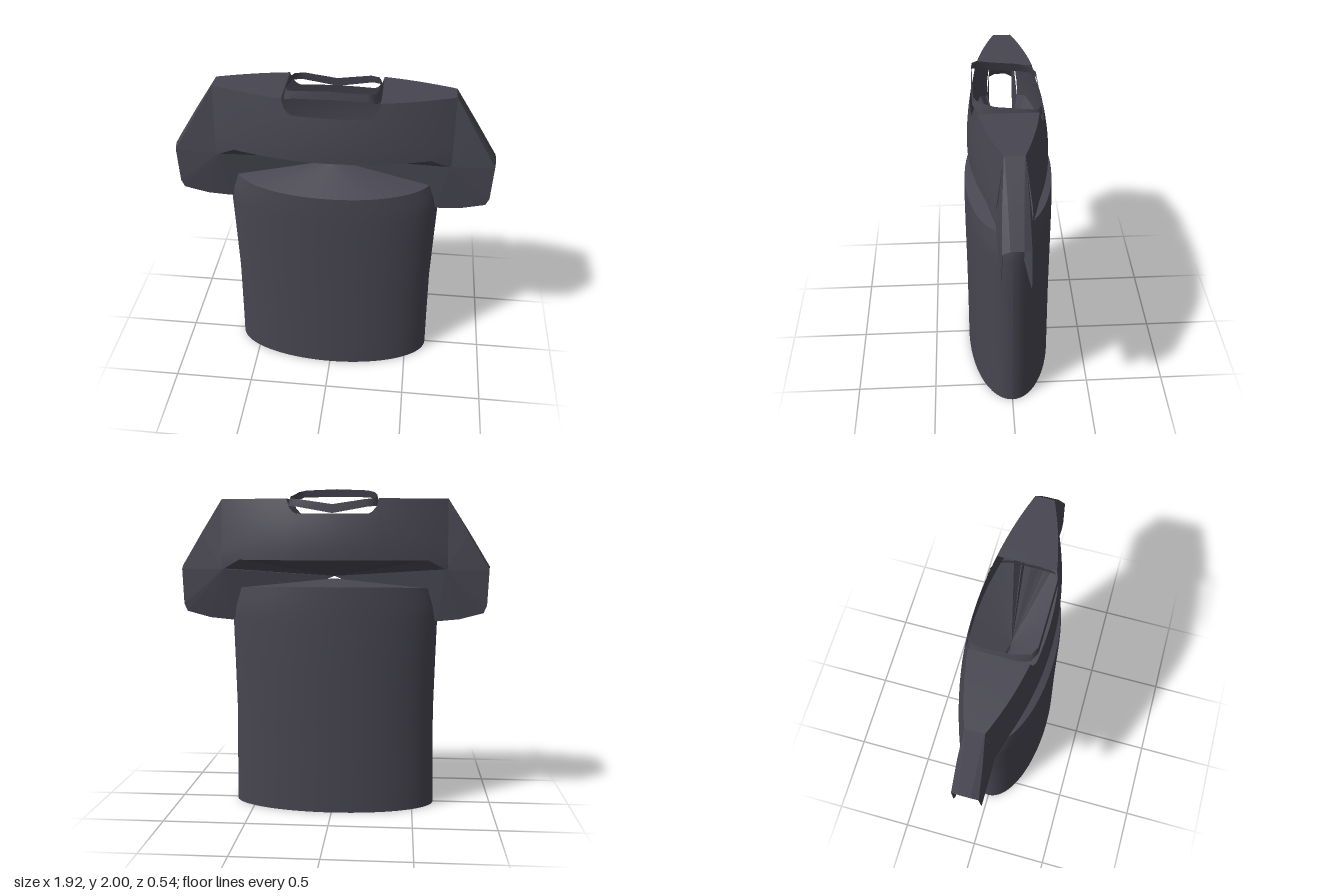
import * as THREE from 'three';

const fabric = new THREE.MeshStandardMaterial({ color: 0x474651, side: THREE.DoubleSide });
fabric.name = 'charcoal fabric';

// Mesh from rows of [x, y, z] cross-sections of equal length
function loft(name, rows, flip = false) {
  const n = rows[0].length, index = [];
  for (let i = 0; i < rows.length - 1; i++) {
    for (let j = 0; j < n - 1; j++) {
      const a = i * n + j, b = a + 1, c = a + n, d = c + 1;
      if (flip) index.push(a, c, b, b, c, d);
      else index.push(a, b, c, b, d, c);
    }
  }
  const g = new THREE.BufferGeometry();
  g.setAttribute('position', new THREE.Float32BufferAttribute(rows.flat(2), 3));
  g.setIndex(index);
  g.computeVertexNormals();
  const mesh = new THREE.Mesh(g, fabric);
  mesh.name = name;
  return mesh;
}

// Triangles from an apex to each segment of an edge
function fan(name, apex, edge, flip = false) {
  const pos = [];
  for (let i = 0; i < edge.length - 1; i++) {
    const [p, q] = flip ? [edge[i + 1], edge[i]] : [edge[i], edge[i + 1]];
    pos.push(...apex, ...p, ...q);
  }
  const g = new THREE.BufferGeometry();
  g.setAttribute('position', new THREE.Float32BufferAttribute(pos, 3));
  g.computeVertexNormals();
  const mesh = new THREE.Mesh(g, fabric);
  mesh.name = name;
  return mesh;
}

const centre = [0, 1.455, 0];

// Yoke half-depth, upper edge with the neck cutout, and lower edge
function yokePoint(x, y, side) {
  const k = Math.max(0, 1 - (x / 0.7) ** 2);
  const t = Math.min(1, Math.max(0, (1.93 - y) / 0.35));
  const bulge = Math.sin(t * Math.PI / 2);
  const edge = 0.055 + 0.045 * t;
  const mid = (side > 0 ? 0.2 : 0.18) + (side > 0 ? 0.04 : 0.055) * bulge;
  return [x, y, side * (edge + (mid - edge) * k)];
}
function yokeTop(x) {
  const a = Math.abs(x);
  if (a >= 0.28) return 1.93;
  if (a >= 0.26) return 1.88;
  return a >= 0.235 ? 1.85 : 1.84;
}
const yokeBottom = (x) => 1.56 - 0.055 * Math.min(1, Math.max(0, (Math.abs(x) - 0.58) / 0.1));

export function createModel() {
  const shirt = new THREE.Group();
  shirt.name = 'shirt';

  // Torso tube, open at the hem, with a tilted upper rim
  const levels = [[0, 0.637, 0.27], [0.25, 0.633, 0.268], [0.6, 0.629, 0.266], [0.95, 0.638, 0.267],
    [1.18, 0.645, 0.267], [1.26, 0.635, 0.266], [1.31, 0.62, 0.264], [1.365, 0.605, 0.262]];
  const rings = levels.map(([y, w, d]) => {
    const ring = [];
    for (let i = 0; i <= 64; i++) {
      const a = (i / 64) * Math.PI * 2, s = Math.sin(a);
      const tilt = -0.037 * Math.sign(s) * Math.sqrt(Math.abs(s)) * Math.max(0, (y - 0.95) / 0.415);
      ring.push([w * Math.cos(a), y + tilt, d * s]);
    }
    return ring;
  });
  shirt.add(loft('torso', rings, true));
  shirt.add(fan('torsoTop', [0, 1.44, 0], rings[rings.length - 1], true));

  // Yoke columns, closer together around the neck cutout
  const half = [0.06, 0.12, 0.18, 0.22, 0.24, 0.265, 0.28, 0.34, 0.4, 0.46, 0.52, 0.58, 0.63, 0.68, 0.7];
  const xs = [...half.map((x) => -x).reverse(), 0, ...half];

  for (const side of [1, -1]) {
    const label = side > 0 ? 'front' : 'back';
    const rows = [];
    for (let r = 0; r <= 8; r++) {
      rows.push(xs.map((x) => {
        const top = yokeTop(x), low = yokeBottom(x);
        return yokePoint(x, top + (low - top) * (r / 8), side);
      }));
    }
    shirt.add(loft(label + 'Yoke', rows, side > 0));
    shirt.add(fan(label + 'YokeUnderside', centre, rows[8], side < 0));
  }

  for (const m of [1, -1]) {
    const label = m > 0 ? 'left' : 'right';

    // Shoulder surface between the front and back yoke
    const shoulder = half.filter((x) => x >= 0.28).map((x) => {
      const f = yokePoint(m * x, 1.93, 1), b = yokePoint(m * x, 1.93, -1);
      return [f, [m * x, 1.93, (f[2] + b[2]) / 2], b];
    });
    shirt.add(loft(label + 'Shoulder', shoulder, m > 0));

    // Sleeve: narrow outer strip, two hanging panels and inner folds
    const sleeve = new THREE.Group();
    sleeve.name = label + 'Sleeve';
    sleeve.add(loft('sleeveStrip', [
      [[m * 0.7, 1.93, 0.05], [m * 0.7, 1.93, -0.05]],
      [[m * 0.83, 1.73, 0.042], [m * 0.83, 1.73, -0.042]],
      [[m * 0.96, 1.52, 0.036], [m * 0.96, 1.52, -0.036]],
    ], m > 0));
    for (const s of [1, -1]) {
      const flip = m * s < 0;
      const P = (x, y, z) => [m * x, y, s * z];
      const pivot = P(0.69, 1.5, 0.1);
      sleeve.add(fan('sleevePanel', pivot, [
        P(0.64, 1.18, 0.062), P(0.78, 1.195, 0.072), P(0.925, 1.235, 0.08), P(0.945, 1.28, 0.082),
        P(0.955, 1.5, 0.078), P(0.825, 1.72, 0.07), P(0.7, 1.93, 0.055),
      ], flip));
      sleeve.add(loft('sleeveBevel', [
        [P(0.7, 1.93, 0.05), P(0.7, 1.93, 0.055)],
        [P(0.83, 1.73, 0.042), P(0.825, 1.72, 0.07)],
        [P(0.96, 1.52, 0.036), P(0.955, 1.5, 0.078)],
      ], !flip));
      sleeve.add(fan('sleeveInnerFold', centre, [P(0.64, 1.18, 0.062), pivot], flip));
    }
    shirt.add(sleeve);
  }

  // Collar band: tilted rounded loop, high at the front and dipping at the back
  const band = [ // x, z, upper y, lower y
    [0, 0.2, 2.0, 1.952], [0.2, 0.198, 1.992, 1.948], [0.245, 0.17, 1.98, 1.925], [0.262, 0.08, 1.96, 1.9],
    [0.265, -0.08, 1.945, 1.89], [0.25, -0.15, 1.93, 1.885], [0.2, -0.178, 1.925, 1.88], [0, -0.185, 1.895, 1.842],
  ];
  const loop = [...band, ...band.slice(1, -1).reverse().map(([x, ...r]) => [-x, ...r]), band[0]];
  shirt.add(loft('collar', loop.map(([x, z, hi, lo]) => [[x, hi, z], [x * 1.06, lo, z * 1.03]]), true));

  return shirt;
}
